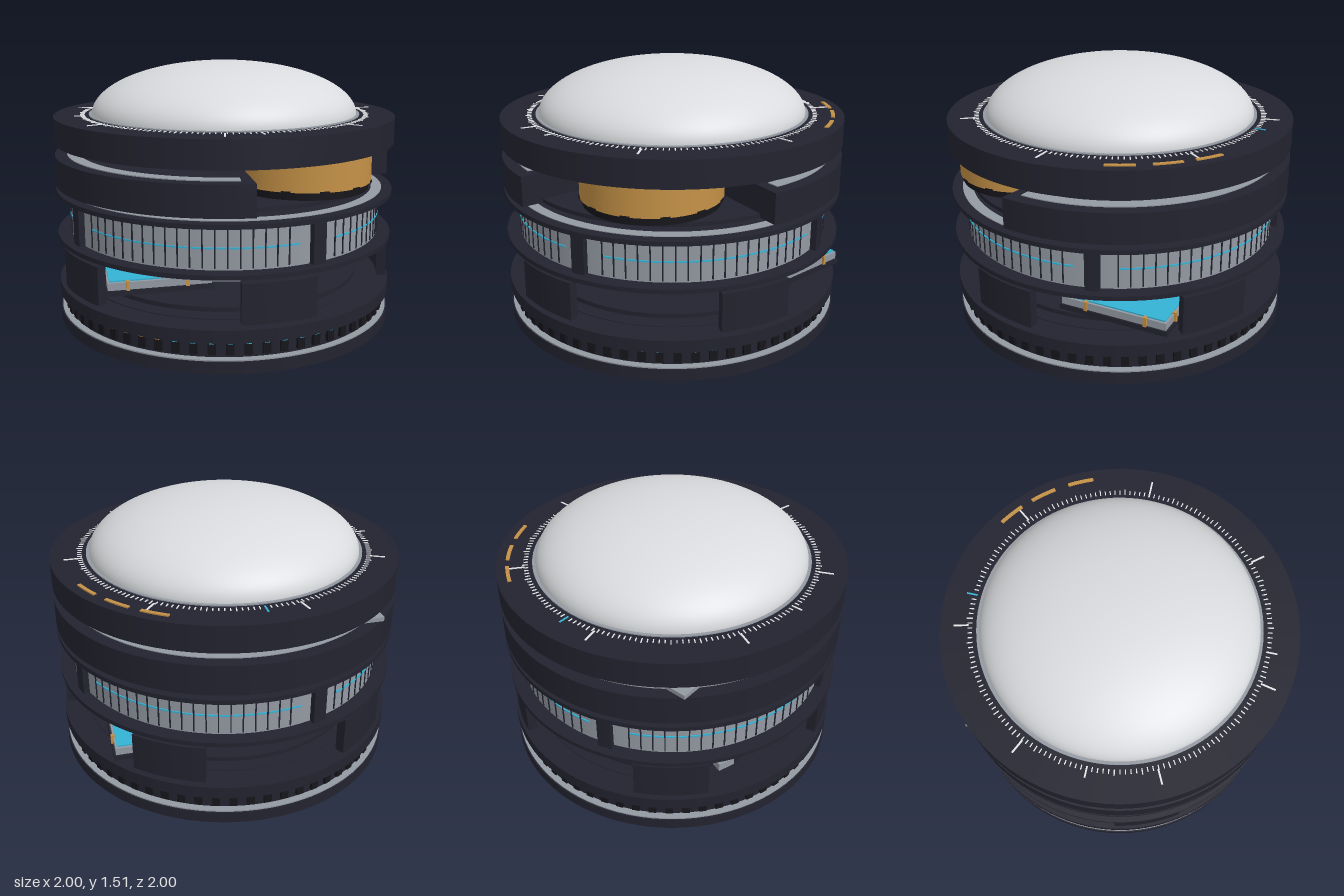
import * as THREE from 'three';
import { toCreasedNormals } from 'three/addons/utils/BufferGeometryUtils.js';

const mat = (name, color) => {
  const m = new THREE.MeshStandardMaterial({ color });
  m.name = name;
  return m;
};
const rad = THREE.MathUtils.degToRad;

export function createModel() {
  const model = new THREE.Group();
  const dark = mat('dark housing', 0x232330);
  const black = mat('black rubber', 0x15151b);
  const grey = mat('brushed metal', 0x949aa3);
  const light = mat('dome white', 0xd9dbde);
  const gold = mat('gold', 0xc49146);
  const cyan = mat('cyan light', 0x35b3d6);
  const white = mat('marking white', 0xe6e7ea);

  const layer = (name) => {
    const g = new THREE.Group();
    g.name = name;
    model.add(g);
    return g;
  };
  const add = (parent, name, geo, material, x = 0, y = 0, z = 0) => {
    const m = new THREE.Mesh(geo, material);
    m.name = name;
    m.position.set(x, y, z);
    parent.add(m);
    return m;
  };
  // Solid disc between two heights
  const disc = (p, name, r, y0, y1, m, x = 0, z = 0, seg = 96) =>
    add(p, name, new THREE.CylinderGeometry(r, r, y1 - y0, seg), m, x, (y0 + y1) / 2, z);
  // Full ring with a rectangular section
  const ring = (p, name, r0, r1, y0, y1, m) => {
    const pts = [[r0, y0], [r1, y0], [r1, y1], [r0, y1], [r0, y0]].map((v) => new THREE.Vector2(...v));
    return add(p, name, toCreasedNormals(new THREE.LatheGeometry(pts, 96), 0.5), m);
  };
  // Ring segment; angles in degrees from the front (+z) towards +x
  const sector = (p, name, r0, r1, y0, y1, a0, a1, m) => {
    const s = new THREE.Shape();
    s.absarc(0, 0, r1, rad(a0 - 90), rad(a1 - 90), false);
    s.absarc(0, 0, r0, rad(a1 - 90), rad(a0 - 90), true);
    const geo = new THREE.ExtrudeGeometry(s, {
      depth: y1 - y0, bevelEnabled: false, curveSegments: Math.max(4, Math.ceil((a1 - a0) / 4)),
    });
    geo.rotateX(-Math.PI / 2);
    return add(p, name, toCreasedNormals(geo, 0.5), m, 0, y0, 0);
  };
  // Box set on a circle and turned to face outwards
  const radialBox = (p, name, w, h, d, a, r, y, m) => {
    const b = add(p, name, new THREE.BoxGeometry(w, h, d), m, r * Math.sin(rad(a)), y, r * Math.cos(rad(a)));
    b.rotation.y = rad(a);
    return b;
  };
  const box = (p, name, w, h, d, x, y, z, m) => add(p, name, new THREE.BoxGeometry(w, h, d), m, x, y, z);

  // Base: foot, toothed groove and upper rim
  const base = layer('base');
  disc(base, 'footPad', 0.85, 0, 0.01, dark);
  disc(base, 'foot', 1, 0.003, 0.07, dark);
  disc(base, 'footTrim', 0.993, 0.07, 0.077, grey);
  disc(base, 'groove', 0.955, 0.077, 0.17, dark);
  disc(base, 'upperRim', 1, 0.17, 0.24, dark);
  disc(base, 'topPlate', 0.86, 0.24, 0.245, dark);
  for (let i = 0; i < 64; i++) {
    const a = i * 360 / 64;
    radialBox(base, 'tooth', 0.042, 0.062, 0.025, a, 0.96, 0.125, black);
    radialBox(base, 'indicator', 0.026, 0.008, 0.02, a, 0.968, 0.16, a > 280 && a < 328 ? gold : cyan);
  }

  // Circuit deck: five pillars around two boards
  const deck = layer('circuitDeck');
  disc(deck, 'deckFloor', 0.8, 0.26, 0.285, dark);
  ring(deck, 'deckTopRing', 0.85, 0.92, 0.472, 0.48, grey);
  for (let i = 0; i < 5; i++) {
    const a = 4 + 72 * i;
    sector(deck, 'pillar', 0.93, 0.985, 0.26, 0.48, a - 12, a + 12, dark);
  }
  for (const [x, z, w, d] of [[-0.47, 0.06, 0.6, 0.86], [0.53, -0.34, 0.5, 0.64]]) {
    box(deck, 'boardBase', w, 0.03, d, x, 0.3, z, dark);
    box(deck, 'board', w - 0.02, 0.045, d - 0.02, x, 0.335, z, grey);
    box(deck, 'boardTop', w - 0.04, 0.008, d - 0.04, x, 0.364, z, cyan);
    for (const s of [-0.3, 0.25]) {
      box(deck, 'clip', 0.02, 0.055, d + 0.005, x + s * w, 0.34, z, gold);
      box(deck, 'clip', w + 0.005, 0.055, 0.02, x, 0.34, z + s * d, gold);
    }
  }
  box(deck, 'connector', 0.1, 0.13, 0.16, -0.18, 0.35, -0.12, grey);
  box(deck, 'connectorTop', 0.14, 0.01, 0.3, -0.18, 0.42, -0.1, cyan);
  const plug = radialBox(deck, 'sidePlug', 0.1, 0.05, 0.14, 240, 0.8, 0.32, grey);
  plug.rotation.y += 0.2;

  // Finned drum: grey wall between two rims, with four posts
  const fins = layer('finnedDrum');
  ring(fins, 'lowerRim', 0.85, 1, 0.505, 0.53, dark);
  ring(fins, 'lowerTrim', 0.8, 0.85, 0.508, 0.53, grey);
  disc(fins, 'goldCoil', 0.8, 0.512, 0.53, gold);
  disc(fins, 'wall', 0.92, 0.53, 0.765, grey);
  disc(fins, 'upperRim', 1, 0.765, 0.79, dark);
  ring(fins, 'upperTrim', 0.88, 0.94, 0.788, 0.794, grey);
  disc(fins, 'centrePlate', 0.45, 0.79, 0.8, dark);
  for (let q = 0; q < 4; q++) {
    const post = 18 + 90 * q;
    sector(fins, 'post', 0.9, 0.955, 0.53, 0.765, post - 2.4, post + 2.4, dark);
    for (let a = 8; a <= 82; a += 4) {
      radialBox(fins, 'finGap', 0.007, 0.215, 0.01, post + a, 0.92, 0.647, dark);
      if (a < 82) sector(fins, 'lightDash', 0.91, 0.926, 0.642, 0.65, post + a + 0.4, post + a + 3.6, cyan);
    }
  }

  // Motor deck: thick ring with a notch holding the gold motor
  const motor = layer('motorDeck');
  disc(motor, 'deckPlate', 0.88, 0.82, 0.842, dark);
  sector(motor, 'notchedBody', 0.12, 1, 0.82, 0.99, 80, 356, dark);
  sector(motor, 'bodyTrim', 0.86, 0.93, 0.99, 0.995, 84, 352, grey);
  disc(motor, 'motorMount', 0.375, 0.842, 0.885, black, 0.34, 0.44, 64);
  disc(motor, 'motor', 0.39, 0.885, 1.05, gold, 0.34, 0.44, 64);
  for (let i = 0; i < 12; i++) {
    const b = radialBox(motor, 'motorTab', 0.05, 0.012, 0.02, i * 30, 0.385, 0.886, black);
    b.position.x += 0.34;
    b.position.z += 0.44;
  }
  box(motor, 'sensorBoard', 0.43, 0.025, 0.36, -0.485, 1.002, -0.55, grey);
  for (const [x, z] of [[-0.59, -0.47], [-0.385, -0.63]]) {
    disc(motor, 'sensorRing', 0.1, 1.01, 1.032, grey, x, z, 32);
    disc(motor, 'sensorCap', 0.08, 1.032, 1.045, black, x, z, 32);
  }
  box(motor, 'controlBoard', 0.24, 0.035, 0.34, -0.16, 1.007, -0.13, grey);
  box(motor, 'controlBoardTop', 0.2, 0.008, 0.32, -0.14, 1.036, -0.12, cyan);
  box(motor, 'controlChip', 0.16, 0.012, 0.24, -0.14, 1.028, -0.12, grey);

  // Lid: dial ring with markings
  const lid = layer('lid');
  disc(lid, 'dialBody', 1, 1.06, 1.21, dark);
  disc(lid, 'underTrim', 0.985, 1.055, 1.06, dark);
  ring(lid, 'domeSeat', 0.76, 0.797, 1.2, 1.216, grey);
  const tick = (name, a, r0, r1, w, m) =>
    radialBox(lid, name, w, 0.006, r1 - r0, a, (r0 + r1) / 2, 1.211, m);
  for (let i = 0; i < 180; i++) {
    if (i % 45) tick('tick', i * 2, 0.82, i % 5 ? 0.846 : 0.854, 0.006, white);
  }
  for (let i = 0; i < 4; i++) tick('quarterTick', i * 90, 0.82, 0.882, 0.009, i === 2 ? cyan : white);
  for (let i = 0; i < 7; i++) tick('longTick', 90 + i * 360 / 7, 0.84, 0.925, 0.01, white);
  for (const a of [116.5, 131, 144.7]) sector(lid, 'goldMark', 0.925, 0.946, 1.209, 1.217, a - 4.7, a + 4.7, gold);

  // Shallow dome
  const domeGeo = new THREE.SphereGeometry(0.78, 96, 32, 0, Math.PI * 2, 0, Math.PI / 2);
  domeGeo.scale(1, 0.305 / 0.78, 1);
  add(lid, 'dome', domeGeo, light, 0, 1.21, 0);

  return model;
}
